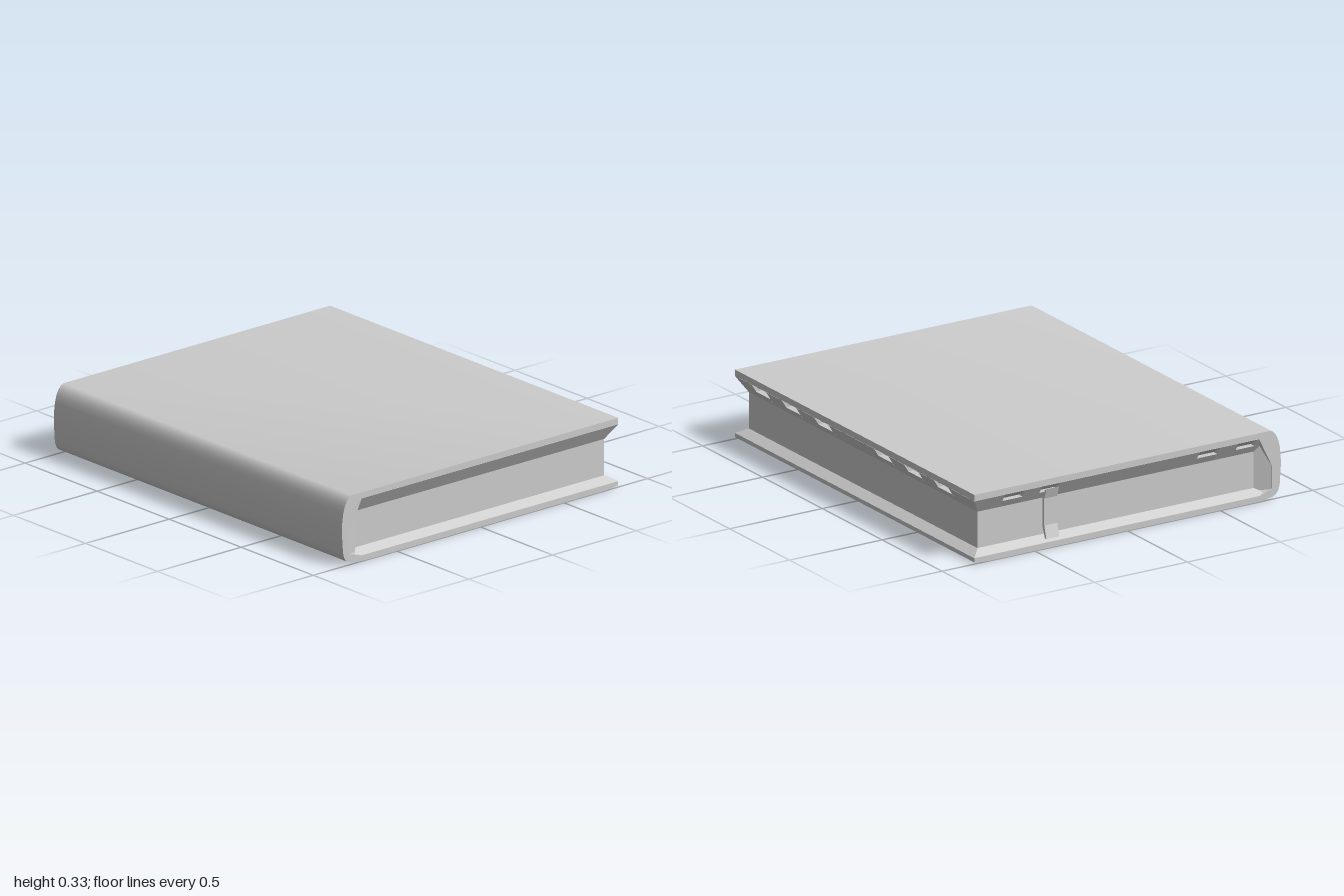
import * as THREE from 'three';
import { toCreasedNormals } from 'three/addons/utils/BufferGeometryUtils.js';
import { ConvexGeometry } from 'three/addons/geometries/ConvexGeometry.js';

const material = new THREE.MeshStandardMaterial({ color: 0xcccccc });

// Page block faces: right at x, front/back at +-z, spine end at spineX
const PAGE = { x: 0.78, z: 0.955, spineX: -0.71 };

// Cross-sections as [distance outward from the page face, height]
const PLAIN = [[-0.06, 0.31], [0.045, 0.302], [0, 0.23], [-0.06, 0.23]];
const NOTCH = [[-0.06, 0.31], [0.045, 0.302], [-0.01, 0.265], [0.0225, 0.265], [0, 0.23], [-0.06, 0.23]];
const LOWER = [[-0.06, 0.025], [-0.06, 0.055], [0, 0.055], [0.045, 0.029]];
const RIBBON = [[0.033, 0.28], [0.016, 0.23], [0.016, 0.1], [0.034, 0.04], [0.022, 0.04], [-0.002, 0.1], [-0.002, 0.25]];

function addMesh(parent, name, geometry) {
  const mesh = new THREE.Mesh(geometry, material);
  mesh.name = name;
  parent.add(mesh);
  return mesh;
}

// Prism running along z from a to b; mitred ends spread with the outward distance
function prism(section, a, b, mitreA = false, mitreB = false) {
  const shape = new THREE.Shape(section.map(([u, y]) => new THREE.Vector2(u, y)));
  const geometry = new THREE.ExtrudeGeometry(shape, { depth: b - a, bevelEnabled: false });
  geometry.translate(0, 0, a);
  const p = geometry.attributes.position;
  for (let i = 0; i < p.count; i++) {
    const atStart = Math.abs(p.getZ(i) - a) < 1e-5;
    if (atStart && mitreA) p.setZ(i, a - p.getX(i));
    if (!atStart && mitreB) p.setZ(i, b + p.getX(i));
  }
  geometry.computeVertexNormals();
  return geometry;
}

// Sloping border along one page face, with undercut notches beneath the top cover
function border(name, from, to, notches) {
  const group = new THREE.Group();
  group.name = name;
  const cuts = [from, ...notches.flat(), to];
  for (let i = 0; i < cuts.length - 1; i++) {
    const notched = i % 2 === 1;
    addMesh(group, notched ? 'notch' : 'upperSlope',
      prism(notched ? NOTCH : PLAIN, cuts[i], cuts[i + 1], i === 0, i === cuts.length - 2));
  }
  addMesh(group, 'lowerSlope', prism(LOWER, from, to, true, true));
  return group;
}

export function createModel() {
  const book = new THREE.Group();
  book.name = 'book';

  // Cover: rounded spine joining two flat boards
  const cover = new THREE.Shape();
  cover.moveTo(0.825, 0.333);
  cover.lineTo(-0.77, 0.331);
  cover.bezierCurveTo(-0.805, 0.322, -0.828, 0.27, -0.828, 0.16);
  cover.lineTo(-0.822, 0.07);
  cover.bezierCurveTo(-0.815, 0.02, -0.8, 0.008, -0.72, 0.002);
  cover.lineTo(-0.68, 0);
  cover.lineTo(0.75, 0);
  cover.lineTo(0.825, 0.008);
  cover.lineTo(0.825, 0.028);
  cover.lineTo(-0.71, 0.028);
  cover.lineTo(-0.78, 0.05);
  cover.lineTo(-0.78, 0.16);
  cover.lineTo(-0.71, 0.303);
  cover.lineTo(0.825, 0.303);
  cover.closePath();
  const coverGeometry = new THREE.ExtrudeGeometry(cover, { depth: 2, bevelEnabled: false, curveSegments: 6 });
  coverGeometry.translate(0, 0, -1);
  addMesh(book, 'cover', toCreasedNormals(coverGeometry, 0.5));

  // Page block
  const pages = addMesh(book, 'pages', new THREE.BoxGeometry(PAGE.x + 0.78, 0.21, PAGE.z * 2));
  pages.position.set(0, 0.135, 0);

  // Borders on the fore edge, back and front
  const fore = border('foreEdge', -PAGE.z, PAGE.z, [
    [-0.78, -0.66], [-0.53, -0.41], [-0.28, -0.16], [0.22, 0.34], [0.49, 0.61], [0.74, 0.86],
  ]);
  fore.position.x = PAGE.x;
  const back = border('backEdge', PAGE.spineX, PAGE.x, [
    [-0.71 + 0.01, -0.6], [-0.5, -0.39], [0.36, 0.46], [0.55, 0.66],
  ]);
  back.rotation.y = Math.PI / 2;
  back.position.z = -PAGE.z;
  const front = border('frontEdge', -PAGE.x, -PAGE.spineX, []);
  front.rotation.y = -Math.PI / 2;
  front.position.z = PAGE.z;
  book.add(fore, back, front);

  // Bookmark ribbon hanging down the back of the pages
  addMesh(back, 'bookmark', prism(RIBBON, 0.36, 0.43));

  // Slanted fillers between the page ends and the spine
  for (const side of [1, -1]) {
    const points = [];
    for (const [x, z, low, high] of [
      [-0.785, 1, 0.045, 0.29], [PAGE.spineX, PAGE.z, 0.045, 0.27],
      [-0.785, 0.9, 0.045, 0.29], [PAGE.spineX, 0.9, 0.045, 0.27],
    ]) {
      points.push(new THREE.Vector3(x, low, z * side), new THREE.Vector3(x, high, z * side));
    }
    addMesh(book, 'spineFiller', new ConvexGeometry(points));
  }

  return book;
}
